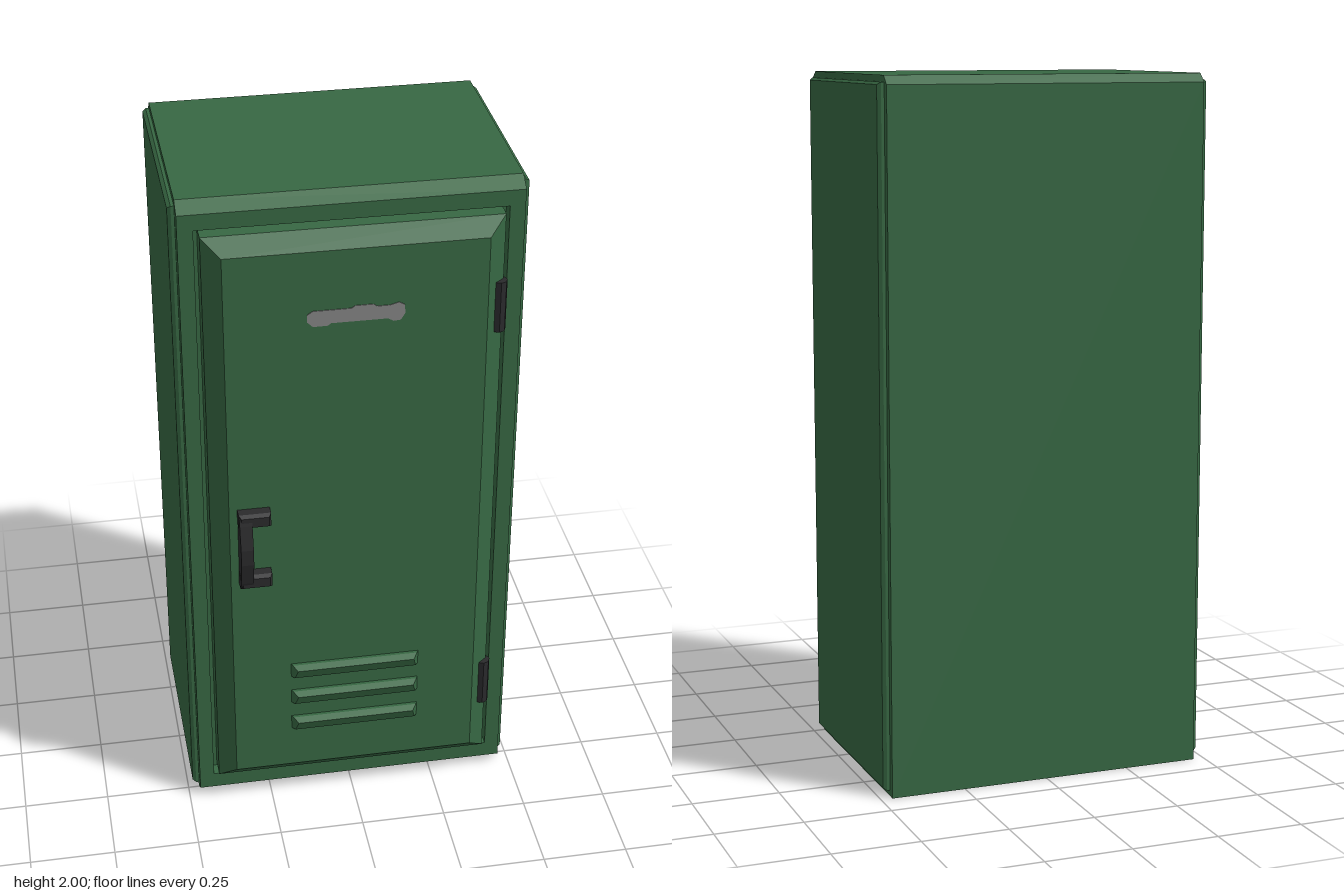
import * as THREE from 'three';

const mat = (name, color) => {
  const m = new THREE.MeshStandardMaterial({ color });
  m.name = name;
  return m;
};

// Closed stack of rectangles along z; each section is [halfWidth, halfHeight, z]
function rectLoft(sections) {
  const rings = sections.map(([w, h, z]) => [[-w, -h, z], [w, -h, z], [w, h, z], [-w, h, z]]);
  const pos = [];
  const quad = (a, b, c, d) => pos.push(...a, ...b, ...c, ...a, ...c, ...d);
  for (let i = 0; i < rings.length - 1; i++) {
    for (let k = 0; k < 4; k++) {
      const n = (k + 1) % 4;
      quad(rings[i][k], rings[i][n], rings[i + 1][n], rings[i + 1][k]);
    }
  }
  const [a, b, c, d] = rings[0];
  quad(d, c, b, a);
  quad(...rings[rings.length - 1]);
  const g = new THREE.BufferGeometry();
  g.setAttribute('position', new THREE.Float32BufferAttribute(pos, 3));
  g.computeVertexNormals();
  return g;
}

// Side outline given as [z, y] points, extruded across x between x0 and x1
function sideProfile(points, x0, x1) {
  const shape = new THREE.Shape(points.map(([z, y]) => new THREE.Vector2(-z, y)));
  const g = new THREE.ExtrudeGeometry(shape, { depth: x1 - x0, bevelEnabled: false });
  return g.rotateY(Math.PI / 2).translate(x0, 0, 0);
}

export function createModel() {
  const green = mat('locker green', 0x376843);
  const black = mat('dark metal', 0x2a2a2c);
  const grey = mat('label grey', 0x858585);
  const model = new THREE.Group();
  model.name = 'locker';
  const add = (name, geometry, material, parent = model) => {
    const mesh = new THREE.Mesh(geometry, material);
    mesh.name = name;
    parent.add(mesh);
    return mesh;
  };

  // Cabinet with a chamfered upper back edge
  add('cabinet', sideProfile(
    [[0.25, 0], [0.25, 2], [-0.385, 2], [-0.41, 1.975], [-0.41, 0]], -0.467, 0.467), green);

  // Slightly raised side panels
  for (const s of [-1, 1]) {
    const panel = add(s > 0 ? 'leftPanel' : 'rightPanel',
      rectLoft([[0.32, 0.982, 0.45], [0.32, 0.982, 0.476], [0.314, 0.975, 0.486]]), green);
    panel.rotation.y = s * Math.PI / 2;
    panel.position.set(0, 1, -0.07);
  }

  // Front frame around the door opening, top and bottom edges chamfered
  const frame = new THREE.Shape();
  frame.moveTo(-0.467, 0).lineTo(0.467, 0).lineTo(0.467, 2).lineTo(-0.467, 2).closePath();
  const hole = new THREE.Path();
  hole.moveTo(-0.424, 0.078).lineTo(-0.424, 1.926).lineTo(0.424, 1.926).lineTo(0.424, 0.078).closePath();
  frame.holes.push(hole);
  const frameGeo = new THREE.ExtrudeGeometry(frame, { depth: 0.04, bevelEnabled: false });
  const p = frameGeo.attributes.position;
  for (let i = 0; i < p.count; i++) {
    if (p.getZ(i) < 0.03) continue;
    if (p.getY(i) > 1.99) p.setY(i, 1.972);
    if (p.getY(i) < 0.01) p.setY(i, 0.028);
  }
  frameGeo.translate(0, 0, 0.25).computeVertexNormals();
  add('frontFrame', frameGeo, green);

  // Door with a wide bevel
  const door = new THREE.Group();
  door.name = 'door';
  model.add(door);
  add('doorPanel', rectLoft([[0.41, 0.912, 0.25], [0.41, 0.912, 0.308], [0.36, 0.866, 0.35]]), green, door)
    .position.y = 1.002;

  // Vent louvres, ends tapering towards the front
  for (const y of [0.495, 0.398, 0.3]) {
    const g = sideProfile([[0.345, -0.025], [0.345, 0.022], [0.36, 0.022], [0.378, 0.012], [0.366, -0.02]], -0.19, 0.19);
    const v = g.attributes.position;
    for (let i = 0; i < v.count; i++) {
      const t = Math.max(0, (v.getZ(i) - 0.35) / 0.028);
      v.setX(i, Math.sign(v.getX(i)) * (0.193 - 0.02 * t));
    }
    g.computeVertexNormals();
    add('ventLouvre', g, green, door).position.y = y;
  }

  // Name label, a thin plate with slightly swollen ends
  const label = new THREE.Shape([
    [-0.135, 1.66], [-0.12, 1.645], [-0.08, 1.645], [-0.07, 1.652], [0.085, 1.652], [0.1, 1.643],
    [0.12, 1.645], [0.132, 1.665], [0.13, 1.69], [0.115, 1.699], [0.09, 1.692], [0.055, 1.692],
    [0.045, 1.699], [-0.005, 1.699], [-0.015, 1.692], [-0.12, 1.692], [-0.135, 1.682],
  ].map(([x, y]) => new THREE.Vector2(x, y)));
  add('label', new THREE.ExtrudeGeometry(label, { depth: 0.003, bevelEnabled: false })
    .translate(0, 0, 0.349), grey, door);

  // Handle: bowed grip with two arms
  const handle = new THREE.Group();
  handle.name = 'handle';
  door.add(handle);
  add('grip', sideProfile([[0.345, 0.835], [0.345, 1.075], [0.385, 1.075], [0.393, 1.05], [0.411, 0.98],
    [0.411, 0.93], [0.393, 0.855], [0.385, 0.835]], -0.336, -0.3), black, handle);
  for (const y of [0.851, 1.058]) {
    add('handleArm', rectLoft([[0.046, 0.022, 0.345], [0.046, 0.022, 0.378], [0.039, 0.015, 0.39]]), black, handle)
      .position.set(-0.291, y, 0);
  }

  // Hinges
  for (const y of [0.353, 1.645]) {
    const hinge = add('hinge', new THREE.CylinderGeometry(0.022, 0.022, 0.152, 8).toNonIndexed(), black);
    hinge.geometry.computeVertexNormals();
    hinge.position.set(0.398, y, 0.314);
  }
  return model;
}
